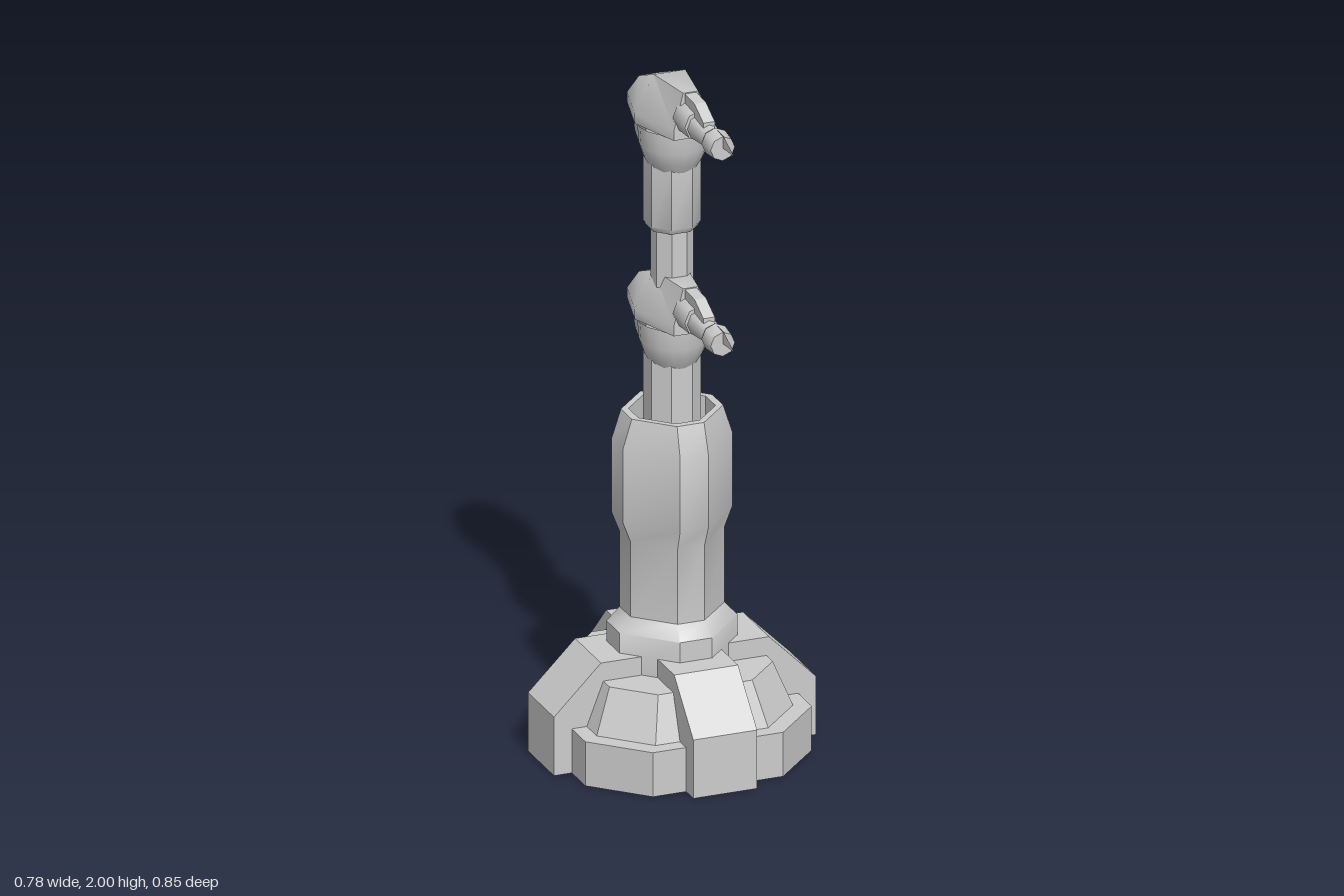
import * as THREE from 'three';
import { toCreasedNormals } from 'three/addons/utils/BufferGeometryUtils.js';

const grey = new THREE.MeshStandardMaterial({ color: 0xcccccc });
const thin = new THREE.MeshStandardMaterial({ color: 0xcccccc, side: THREE.DoubleSide });
const AXIS_Z = -0.037;

// Joins equal-length rings of points (counter-clockwise seen from the last ring) into a solid.
function loft(rings, crease = 0.7, caps = [true, true]) {
  const pos = [];
  const tri = (a, b, c) => pos.push(...a, ...b, ...c);
  const n = rings[0].length;
  for (let r = 0; r < rings.length - 1; r++) {
    for (let i = 0; i < n; i++) {
      const j = (i + 1) % n;
      const [a, b, c, d] = [rings[r][i], rings[r][j], rings[r + 1][j], rings[r + 1][i]];
      tri(a, b, c);
      tri(a, c, d);
    }
  }
  const last = rings[rings.length - 1];
  for (let i = 1; i < n - 1; i++) {
    if (caps[0]) tri(rings[0][0], rings[0][i + 1], rings[0][i]);
    if (caps[1]) tri(last[0], last[i], last[i + 1]);
  }
  const g = new THREE.BufferGeometry();
  g.setAttribute('position', new THREE.Float32BufferAttribute(pos, 3));
  return toCreasedNormals(g, crease);
}

// Octagon with half width h and half length s of its axis-facing sides.
const octagon = (h, s, y) => [[h, s], [h, -s], [s, -h], [-s, -h], [-h, -s], [-h, s], [-s, h], [s, h]]
  .map(([x, z]) => [x, y, z]);

// Upright octagonal solid from a list of [half width, half side, y].
const tower = (profile, crease, caps) => loft(profile.map((p) => octagon(...p)), crease, caps);

function add(parent, name, geometry, material = grey) {
  const mesh = new THREE.Mesh(geometry, material);
  mesh.name = name;
  parent.add(mesh);
  return mesh;
}

// Cylinder lying along z from z0 (radius r0) to z1 (radius r1).
function barrel(parent, name, r0, r1, z0, z1, y) {
  const g = new THREE.CylinderGeometry(r1, r0, z1 - z0, 8).rotateX(Math.PI / 2);
  const mesh = add(parent, name, toCreasedNormals(g, 0.9));
  mesh.position.set(0, y, (z0 + z1) / 2);
}

// Extrudes a (z, y) outline symmetrically across x.
function sidePlate(points, width) {
  const shape = new THREE.Shape(points.map(([z, y]) => new THREE.Vector2(-z, y)));
  return new THREE.ExtrudeGeometry(shape, { depth: width, bevelEnabled: false })
    .translate(0, 0, -width / 2).rotateY(Math.PI / 2);
}

// Gun head; local y = 0 is the flat underside of the housing.
function createTurret() {
  const turret = new THREE.Group();
  turret.name = 'turret';

  // Housing: widest in the middle, lower at the rear
  const section = (z, w, h) => [[-w, 0], [w, 0], [w, 0.03], [0.45 * w, h], [-0.45 * w, h], [-w, 0.03]]
    .map(([x, y]) => [x, y, z]);
  add(turret, 'housing', loft([
    section(-0.207, 0.065, 0.073), section(-0.055, 0.104, 0.138), section(0.1, 0.05, 0.138),
  ], 1.15));

  // Rounded neck under the housing
  const neck = [[0, -0.128], [0.066, -0.128], [0.085, -0.095], [0.096, -0.06], [0.1, 0]]
    .map(([r, y]) => new THREE.Vector2(r, y));
  add(turret, 'neck', toCreasedNormals(new THREE.LatheGeometry(neck, 16), 0.8)).position.z = AXIS_Z + 0.01;

  // Counterweight hanging at the rear
  const slab = (y, w, z0, z1) => [[w, z1], [w, z0 + 0.025], [w * 0.6, z0], [-w * 0.6, z0], [-w, z0 + 0.025], [-w, z1]]
    .map(([x, z]) => [x, y, z]);
  add(turret, 'counterweight', loft([
    slab(-0.17, 0.035, -0.15, -0.095), slab(-0.075, 0.055, -0.2, -0.09), slab(0.005, 0.062, -0.206, -0.08),
  ], 0.9));

  // Gun
  const gunY = 0.06;
  barrel(turret, 'gunCollar', 0.05, 0.046, 0.09, 0.17, gunY + 0.005);
  barrel(turret, 'gunBarrel', 0.04, 0.027, 0.16, 0.28, gunY);
  barrel(turret, 'muzzleFlare', 0.027, 0.041, 0.255, 0.28, gunY);
  barrel(turret, 'muzzle', 0.041, 0.036, 0.28, 0.335, gunY);
  add(turret, 'topRail', sidePlate([[0.08, 0.05], [0.235, 0.06], [0.235, 0.1], [0.17, 0.132], [0.08, 0.136]], 0.034));

  // Thin pointed blade at the muzzle
  const blade = new THREE.Shape([[-0.27, 0.1], [-0.34, 0.1], [-0.42, 0.068], [-0.34, 0.062], [-0.27, 0.06]]
    .map((p) => new THREE.Vector2(...p)));
  add(turret, 'muzzleBlade', new THREE.ShapeGeometry(blade).rotateY(Math.PI / 2), thin);
  return turret;
}

export function createModel() {
  const model = new THREE.Group();
  model.name = 'gunTower';
  const body = new THREE.Group();
  body.name = 'tower';
  body.position.z = AXIS_Z;
  model.add(body);

  // Stepped octagonal base
  add(body, 'baseSlab', tower([[0.337, 0.194, 0], [0.337, 0.194, 0.132]]));
  add(body, 'baseTier', tower([[0.293, 0.168, 0.13], [0.243, 0.14, 0.26]]));

  // Four buttresses with sloped shoulders
  const buttress = sidePlate([[0.1, 0], [0.39, 0], [0.39, 0.175], [0.25, 0.315], [0.1, 0.315]], 0.19);
  for (let i = 0; i < 4; i++) add(body, 'buttress', buttress).rotation.y = i * Math.PI / 2;

  // Collar and hollow-topped column
  add(body, 'collar', tower([[0.176, 0.048, 0.255], [0.176, 0.048, 0.375], [0.14, 0.04, 0.415]]));
  add(body, 'column', tower([
    [0.14, 0.04, 0.4], [0.14, 0.04, 0.64], [0.163, 0.042, 0.7], [0.163, 0.042, 0.92],
    [0.136, 0.04, 1.005], [0.115, 0.036, 1.005], [0.115, 0.036, 0.88],
  ], 0.7));

  // Posts carrying the two turrets
  add(body, 'lowerPost', tower([[0.074, 0.031, 0.87], [0.074, 0.031, 1.17]]));
  add(body, 'upperPost', tower([
    [0.055, 0.023, 1.38], [0.055, 0.023, 1.55], [0.066, 0.028, 1.55], [0.074, 0.031, 1.565], [0.074, 0.031, 1.76],
  ]));

  for (const y of [1.277, 1.862]) {
    const turret = createTurret();
    turret.position.y = y;
    model.add(turret);
  }
  return model;
}
